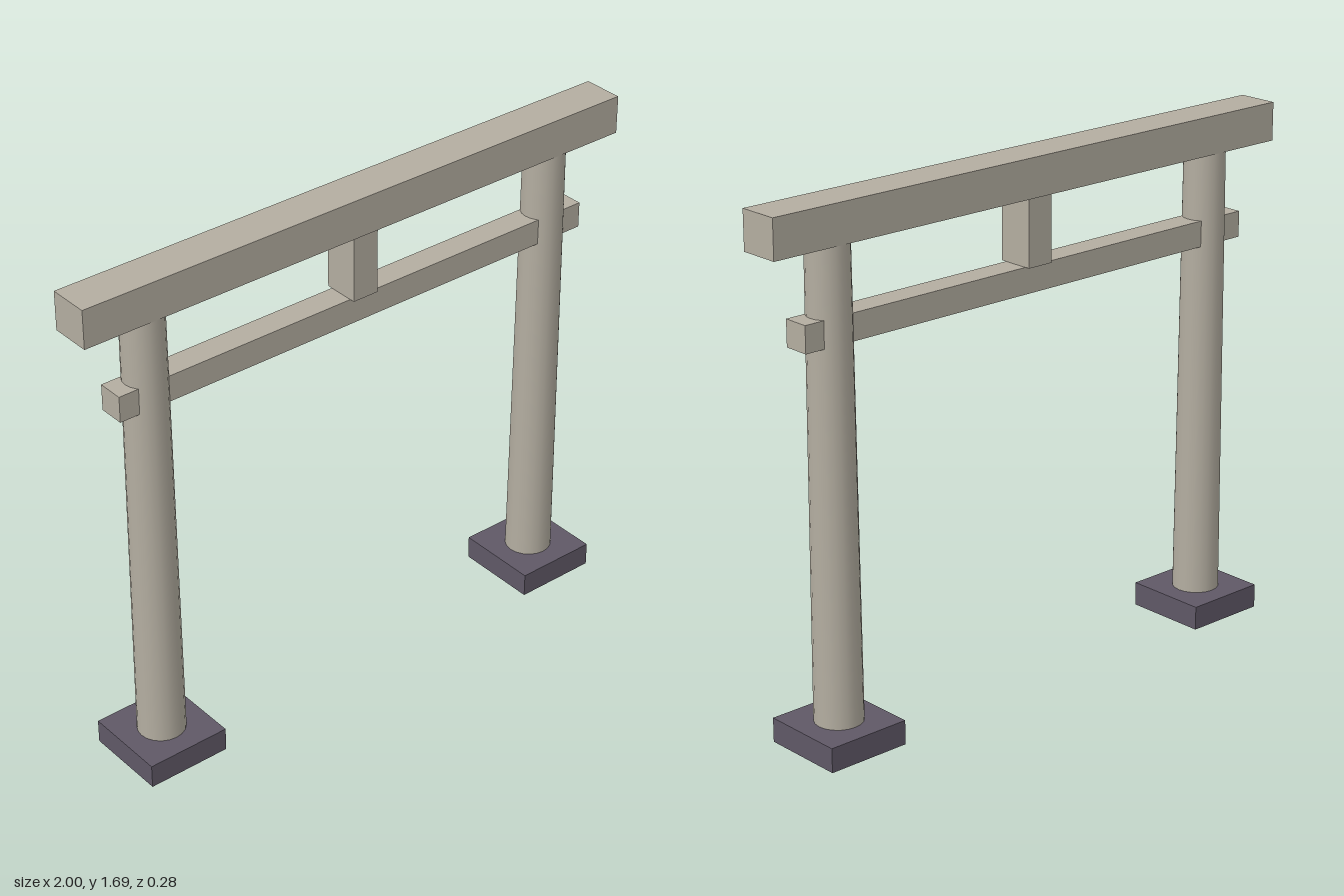
import * as THREE from 'three';

export function createModel() {
  const gate = new THREE.Group();
  gate.name = 'gate';

  const stone = new THREE.MeshStandardMaterial({ color: 0xb3ada0 });
  stone.name = 'warm grey stone';
  const darkStone = new THREE.MeshStandardMaterial({ color: 0x5f5866 });
  darkStone.name = 'dark purple stone';

  const add = (name, geometry, material, x, y) => {
    const mesh = new THREE.Mesh(geometry, material);
    mesh.name = name;
    mesh.position.set(x, y, 0);
    gate.add(mesh);
  };

  // Box given by its width, depth and vertical extent
  const block = (name, material, x, width, depth, bottom, top) =>
    add(name, new THREE.BoxGeometry(width, top - bottom, depth), material, x, (bottom + top) / 2);

  // Tapered round pillars running through square plinths
  const pillarTop = 1.565;
  for (const [side, sign] of [['left', 1], ['right', -1]]) {
    const pillar = new THREE.CylinderGeometry(0.067, 0.077, pillarTop, 20);
    add(`${side}Pillar`, pillar, stone, sign * 0.76, pillarTop / 2);
    // Plinth underside sits a hair above the pillar foot, which stays visible
    block(`${side}Plinth`, darkStone, sign * 0.76, 0.28, 0.28, 0.001, 0.08);
  }

  // Top lintel, lower tie beam and the short strut between them
  block('topLintel', stone, 0, 2, 0.134, pillarTop, 1.69);
  block('tieBeam', stone, 0, 1.76, 0.086, 1.265, 1.35);
  block('centreStrut', stone, 0, 0.09, 0.12, 1.35, pillarTop);

  return gate;
}
